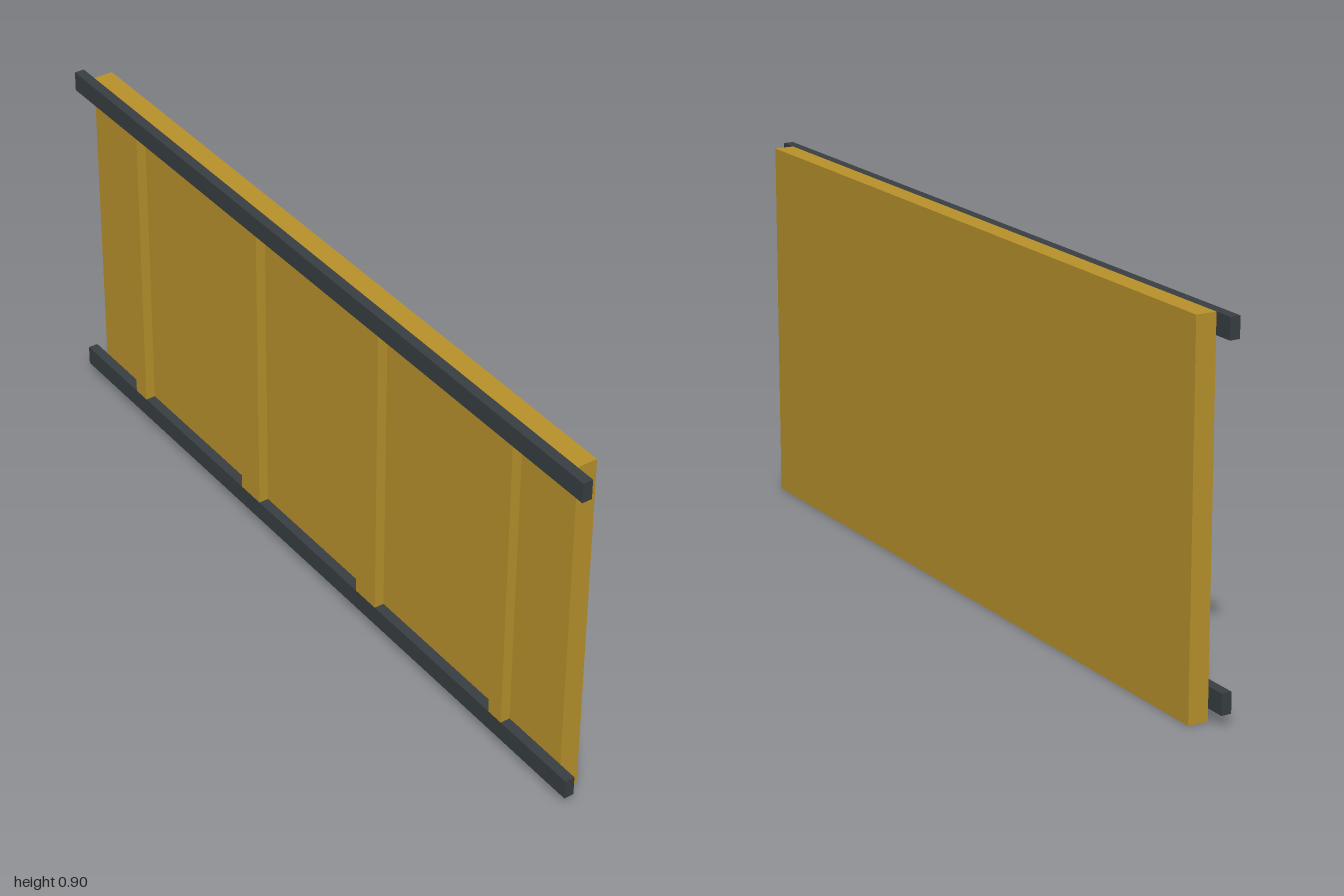
import * as THREE from 'three';

export function createModel() {
  const model = new THREE.Group();
  const gold = new THREE.MeshStandardMaterial({ color: 0xb9922b });
  gold.name = 'gold';
  const darkGrey = new THREE.MeshStandardMaterial({ color: 0x383e42 });
  darkGrey.name = 'darkGrey';

  // Box given by its limits on each axis
  function block(name, material, [x0, x1], [y0, y1], [z0, z1]) {
    const mesh = new THREE.Mesh(new THREE.BoxGeometry(x1 - x0, y1 - y0, z1 - z0), material);
    mesh.position.set((x0 + x1) / 2, (y0 + y1) / 2, (z0 + z1) / 2);
    mesh.name = name;
    model.add(mesh);
  }

  const frameDepth = [-0.0375, -0.0125];

  // Main board
  block('panel', gold, [-0.0125, 0.0375], [0, 0.9], [-0.95, 0.95]);

  // Long rails across the rear face, overhanging both ends
  block('lowerRail', darkGrey, frameDepth, [0.03, 0.08], [-1, 1]);
  block('upperRail', darkGrey, frameDepth, [0.85, 0.9], [-1, 1]);

  // Upright battens between the rails: narrow outside, wide inside
  for (const [name, inner, outer] of [['innerBatten', 0.204, 0.28], ['outerBatten', 0.72, 0.766]]) {
    block(name + 'Front', gold, frameDepth, [0.08, 0.85], [inner, outer]);
    block(name + 'Back', gold, frameDepth, [0.08, 0.85], [-outer, -inner]);
  }

  return model;
}
